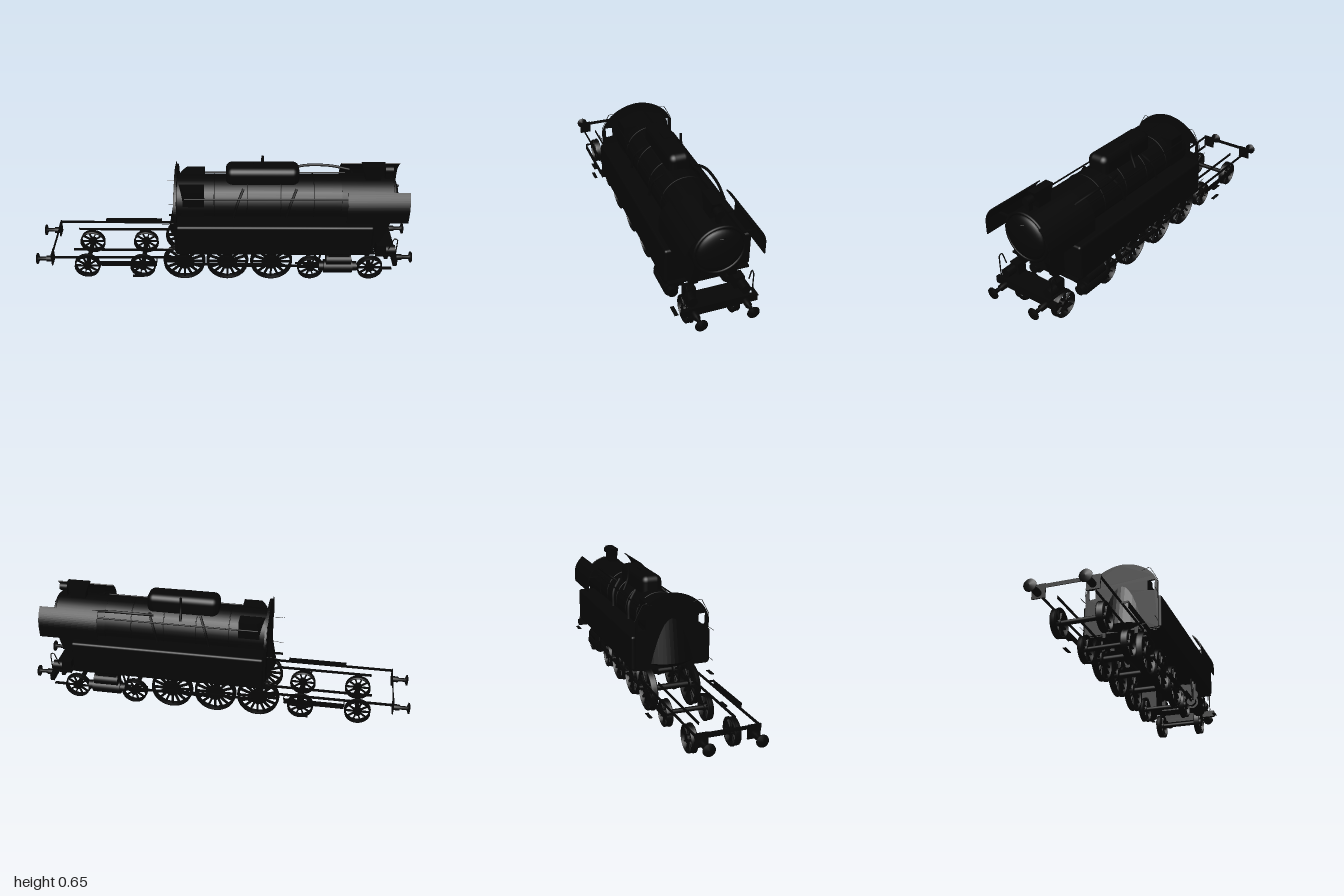
import * as THREE from 'three';
import { RoundedBoxGeometry } from 'three/addons/geometries/RoundedBoxGeometry.js';

export function createModel() {
  const loco = new THREE.Group();
  loco.name = 'steamLocomotive';
  const black = new THREE.MeshStandardMaterial({ color: 0x060606, side: THREE.DoubleSide });
  black.name = 'black';

  const add = (name, geo, x = 0, y = 0, z = 0, parent = loco) => {
    const m = new THREE.Mesh(geo, black);
    m.name = name;
    m.position.set(x, y, z);
    parent.add(m);
    return m;
  };
  // box given by its limits on each axis
  const box = (name, x0, x1, y0, y1, z0, z1) =>
    add(name, new THREE.BoxGeometry(x1 - x0, y1 - y0, z1 - z0), (x0 + x1) / 2, (y0 + y1) / 2, (z0 + z1) / 2);
  // cylinder along x, from x0 to x1
  const barrel = (name, x0, x1, r, y, z) => {
    add(name, new THREE.CylinderGeometry(r, r, x1 - x0, 32), (x0 + x1) / 2, y, z).rotation.z = Math.PI / 2;
  };
  // side outline in x and y, given a width along z
  const slab = (name, pts, z, width, steps = 1) => {
    const shape = new THREE.Shape(pts.map(p => new THREE.Vector2(...p)));
    return add(name, new THREE.ExtrudeGeometry(shape, { depth: width, steps, bevelEnabled: false }).translate(0, 0, -width / 2), 0, 0, z);
  };
  const pipe = (name, pts, r, smooth = 0.5) => {
    const c = new THREE.CatmullRomCurve3(pts.map(p => new THREE.Vector3(...p)), false, 'catmullrom', smooth);
    return add(name, new THREE.TubeGeometry(c, 20, r, 8));
  };
  // straight bar between two points in the xy plane
  const rod = (name, a, b, h, z) => {
    const m = add(name, new THREE.BoxGeometry(Math.hypot(b[0] - a[0], b[1] - a[1]), h, 0.008), (a[0] + b[0]) / 2, (a[1] + b[1]) / 2, z);
    m.rotation.z = Math.atan2(b[1] - a[1], b[0] - a[0]);
  };

  // spoked wheel facing +z, with flanged tyre
  const wheel = (name, x, y, z, r, spokes, hub, w) => {
    const g = new THREE.Group();
    g.name = name;
    g.position.set(x, y, z);
    if (z < 0) g.rotation.y = Math.PI;
    const ri = r * 0.88, rt = r * 0.96;
    const prof = [[ri, -0.015], [r, -0.015], [r, -0.008], [rt, -0.005], [rt, 0.015], [ri, 0.015], [ri, -0.015]];
    add('tyre', new THREE.LatheGeometry(prof.map(p => new THREE.Vector2(...p)), 40), 0, 0, 0, g).rotation.x = Math.PI / 2;
    add('hub', new THREE.CylinderGeometry(hub, hub, 0.03, 24), 0, 0, 0, g).rotation.x = Math.PI / 2;
    for (let i = 0; i < spokes; i++) {
      const s = new THREE.Group();
      s.rotation.z = (i / spokes) * Math.PI * 2;
      add('spoke', new THREE.BoxGeometry(ri - hub * 0.6, w, 0.012), (ri + hub * 0.8) / 2, 0, 0, s);
      g.add(s);
    }
    loco.add(g);
  };
  const axle = (x, y, r) => {
    add('axle', new THREE.CylinderGeometry(r, r, 0.2, 16), x, y, 0).rotation.x = Math.PI / 2;
  };

  // wheelsets
  const drivers = [-0.21, 0.02, 0.255];
  for (const x of drivers) {
    axle(x, 0.12, 0.016);
    for (const s of [-1, 1]) wheel('drivingWheel', x, 0.12, s * 0.116, 0.113, 16, 0.04, 0.01);
  }
  for (const x of [-0.735, -0.435, 0.465, 0.785]) {
    axle(x, 0.08, 0.012);
    for (const s of [-1, 1]) wheel('carryingWheel', x, 0.08, s * (x < 0 ? 0.107 : 0.116), 0.07, 10, 0.02, 0.006);
  }

  // boiler, smokebox and door
  barrel('boiler', -0.24, 0.62, 0.122, 0.458, 0);
  barrel('smokebox', 0.6, 0.87, 0.126, 0.455, 0);
  const door = add('smokeboxDoor', new THREE.SphereGeometry(0.112, 32, 12, 0, Math.PI * 2, 0, Math.PI / 2), 0.87, 0.455, 0);
  door.rotation.z = -Math.PI / 2;
  door.scale.y = 0.3;
  add('doorRim', new THREE.TorusGeometry(0.12, 0.008, 8, 40), 0.87, 0.455, 0).rotation.y = Math.PI / 2;
  pipe('doorHandrail', [[0.89, 0.53, 0.015], [0.9, 0.533, 0], [0.89, 0.53, -0.015]], 0.003);
  for (const x of [-0.05, 0.12, 0.29, 0.46])
    add('boilerBand', new THREE.TorusGeometry(0.122, 0.003, 6, 40), x, 0.458, 0).rotation.y = Math.PI / 2;

  // sloping firebox end, rounded in plan
  const firebox = slab('firebox', [[-0.237, 0.57], [-0.29, 0.27], [-0.25, 0.24], [-0.1, 0.24], [-0.1, 0.57]], 0, 0.24, 12);
  const fp = firebox.geometry.attributes.position;
  for (let i = 0; i < fp.count; i++)
    if (fp.getX(i) < -0.2) fp.setX(i, fp.getX(i) + 0.045 * (fp.getZ(i) / 0.12) ** 2);
  firebox.geometry.computeVertexNormals();

  // arched cab front with two windows
  const arch = new THREE.Shape();
  arch.moveTo(-0.195, 0.24);
  arch.lineTo(-0.195, 0.48);
  arch.bezierCurveTo(-0.19, 0.55, -0.1, 0.622, 0, 0.624);
  arch.bezierCurveTo(0.1, 0.622, 0.19, 0.55, 0.195, 0.48);
  arch.lineTo(0.195, 0.24);
  for (const s of [-1, 1])
    arch.holes.push(new THREE.Path([[0.14, 0.45], [0.178, 0.445], [0.181, 0.507], [0.142, 0.505]].map(p => new THREE.Vector2(s * p[0], p[1]))));
  add('cabFront', new THREE.ExtrudeGeometry(arch, { depth: 0.012, bevelEnabled: false, curveSegments: 20 }), -0.25, 0, 0).rotation.y = Math.PI / 2;

  // side tanks, running boards and frames
  for (const s of [-1, 1]) {
    add('sideTank', new RoundedBoxGeometry(1.0, 0.18, 0.125, 3, 0.012), 0.26, 0.328, s * 0.15);
    slab('frontBrace', [[0.7, 0.25], [0.82, 0.25], [0.85, 0.34], [0.87, 0.42], [0.7, 0.42]], s * 0.095, 0.04);
    box('mainFrame', -0.26, 0.32, 0.215, 0.25, s * 0.085 - 0.008, s * 0.085 + 0.008);
    box('runningBoard', -0.24, 0.78, 0.236, 0.245, s * 0.15 - 0.05, s * 0.15 + 0.05);
    for (const x of [-0.095, 0.137]) box('springHanger', x - 0.03, x + 0.03, 0.2, 0.24, s * 0.1 - 0.02, s * 0.1 + 0.02);
  }
  box('underBody', -0.24, 0.76, 0.24, 0.4, -0.11, 0.11);
  box('smokeboxSaddle', 0.6, 0.8, 0.24, 0.36, -0.07, 0.07);
  box('centreStay', 0.56, 0.66, 0.18, 0.25, -0.012, 0.012);

  // dome casing, chimney, top lamp, whistle pipe
  add('domeCasing', new RoundedBoxGeometry(0.375, 0.12, 0.116, 6, 0.035), 0.198, 0.592, -0.008);
  box('domeHatch', 0.15, 0.21, 0.645, 0.658, -0.025, 0.015);
  slab('chimney', [[0.725, 0.56], [0.8, 0.56], [0.803, 0.61], [0.82, 0.662], [0.7, 0.662], [0.72, 0.61]], 0, 0.044);
  barrel('topLamp', 0.82, 0.86, 0.02, 0.63, 0);
  box('topLampBracket', 0.825, 0.85, 0.56, 0.615, -0.01, 0.01);
  pipe('whistlePipe', [[0.2, 0.54, -0.105], [0.2, 0.59, -0.085], [0.2, 0.62, -0.079], [0.2, 0.66, -0.078]], 0.007);

  // smoke deflectors, curved inwards at the top
  const defl = new THREE.Shape();
  defl.moveTo(0.19, 0.43);
  defl.lineTo(0.19, 0.49);
  defl.quadraticCurveTo(0.188, 0.54, 0.14, 0.582);
  defl.lineTo(0.136, 0.578);
  defl.quadraticCurveTo(0.183, 0.538, 0.185, 0.49);
  defl.lineTo(0.185, 0.43);
  for (const s of [-1, 1]) {
    const d = add('smokeDeflector', new THREE.ExtrudeGeometry(defl, { depth: 0.31, bevelEnabled: false }), s > 0 ? 0.93 : 0.62, 0, 0);
    d.rotation.y = -s * Math.PI / 2;
    for (const x of [0.68, 0.84]) box('deflectorStay', x, x + 0.01, 0.5, 0.507, s * 0.15 - 0.036, s * 0.15 + 0.036);
    pipe('boilerHandrail', [[-0.2, 0.53, s * 0.125], [0.2, 0.53, s * 0.125], [0.64, 0.53, s * 0.125]], 0.004);
    pipe('cabPipe', [[-0.25, 0.57, s * 0.11], [-0.25, 0.58, s * 0.155], [-0.25, 0.5, s * 0.197], [-0.25, 0.43, s * 0.198]], 0.0015, 0.1);
    for (const y of [0.27, 0.43]) pipe('cabRail', [[-0.25, y, s * 0.195], [-0.28, y, s * 0.198], [-0.31, y, s * 0.198]], 0.0012);
    for (const x of [0.05, 0.32]) pipe('feedPipe', [[x, 0.42, s * 0.13], [x + 0.02, 0.5, s * 0.12], [x + 0.05, 0.56, s * 0.075]], 0.007);
  }
  pipe('steamPipe', [[0.34, 0.56, -0.1], [0.42, 0.575, -0.125], [0.55, 0.575, -0.125], [0.66, 0.56, -0.11]], 0.007);

  // cylinders, rods and valve gear
  for (const s of [-1, 1]) {
    barrel('cylinder', 0.53, 0.68, 0.036, 0.117, s * 0.147);
    barrel('cylinderCover', 0.505, 0.705, 0.025, 0.117, s * 0.147);
    barrel('valveChest', 0.54, 0.67, 0.03, 0.165, s * 0.15);
    box('cylinderBlock', 0.55, 0.66, 0.11, 0.24, s * 0.12 - 0.045, s * 0.12 + 0.045);
    rod('couplingRod', [-0.17, 0.117], [0.295, 0.117], 0.012, s * 0.138);
    rod('mainRod', [0.06, 0.117], [0.44, 0.117], 0.012, s * 0.15);
    rod('pistonRod', [0.42, 0.117], [0.53, 0.117], 0.009, s * 0.15);
    rod('slideBar', [0.38, 0.136], [0.54, 0.136], 0.007, s * 0.15);
    rod('expansionLink', [0.47, 0.24], [0.5, 0.12], 0.01, s * 0.16);
    rod('combinationLever', [0.515, 0.24], [0.495, 0.14], 0.008, s * 0.16);
    for (const x of drivers) add('crankPin', new THREE.CylinderGeometry(0.012, 0.012, 0.03, 16), x + 0.04, 0.117, s * 0.135).rotation.x = Math.PI / 2;
  }

  // front beam, platform, lamps and rails
  box('frontBeam', 0.89, 0.91, 0.147, 0.183, -0.185, 0.185);
  box('frontPlatform', 0.8, 0.91, 0.182, 0.19, -0.15, 0.15);
  box('frontCrossbar', 0.86, 0.88, 0.125, 0.14, -0.1, 0.1);
  for (const s of [-1, 1]) {
    barrel('headLamp', 0.85, 0.9, 0.024, 0.215, s * 0.13);
    box('lampBox', 0.8, 0.85, 0.19, 0.25, s * 0.12 - 0.025, s * 0.12 + 0.025);
    pipe('frontHandrail', [[0.86, 0.24, s * 0.16], [0.88, 0.305, s * 0.16], [0.9, 0.3, s * 0.16], [0.9, 0.19, s * 0.16]], 0.003, 0.2);
    box('frontStep', 0.82, 0.88, 0.143, 0.147, s * 0.198 - 0.009, s * 0.198 + 0.009);
  }

  // buffers on both ends
  const bufferProfile = [[0.016, 0], [0.016, 0.035], [0.01, 0.036], [0.01, 0.072], [0.03, 0.08], [0.029, 0.086], [0, 0.091]];
  for (const e of [-1, 1]) for (const s of [-1, 1]) {
    const b = add('buffer', new THREE.LatheGeometry(bufferProfile.map(p => new THREE.Vector2(...p)), 24), e * 0.909, e > 0 ? 0.16 : 0.143, s * 0.125);
    b.rotation.z = -e * Math.PI / 2;
  }

  // bare rear chassis
  box('rearBeam', -0.912, -0.908, 0.168, 0.186, -0.16, 0.16);
  for (const s of [-1, 1]) {
    box('bufferPlate', -0.913, -0.907, 0.12, 0.188, s * 0.125 - 0.032, s * 0.125 + 0.032);
    box('rearSideRail', -0.91, -0.2, 0.17, 0.184, s * 0.155 - 0.002, s * 0.155 + 0.002);
    box('rearSolebar', -0.66, -0.35, 0.148, 0.178, s * 0.188 - 0.002, s * 0.188 + 0.002);
    box('rearInnerFrame', -0.8, -0.29, 0.17, 0.184, s * 0.09 - 0.002, s * 0.09 + 0.002);
    for (const x of [-0.66, -0.35]) box('rearBracket', x - 0.002, x + 0.002, 0.17, 0.18, s * 0.172 - 0.017, s * 0.172 + 0.017);
    for (const y of [0.085, 0.147]) box('rearStep', -0.48, -0.42, y - 0.002, y + 0.002, s * 0.198 - 0.008, s * 0.198 + 0.008);
    box('cabStep', -0.31, -0.25, 0.193, 0.197, s * 0.198 - 0.009, s * 0.198 + 0.009);
  }
  return loco;
}
